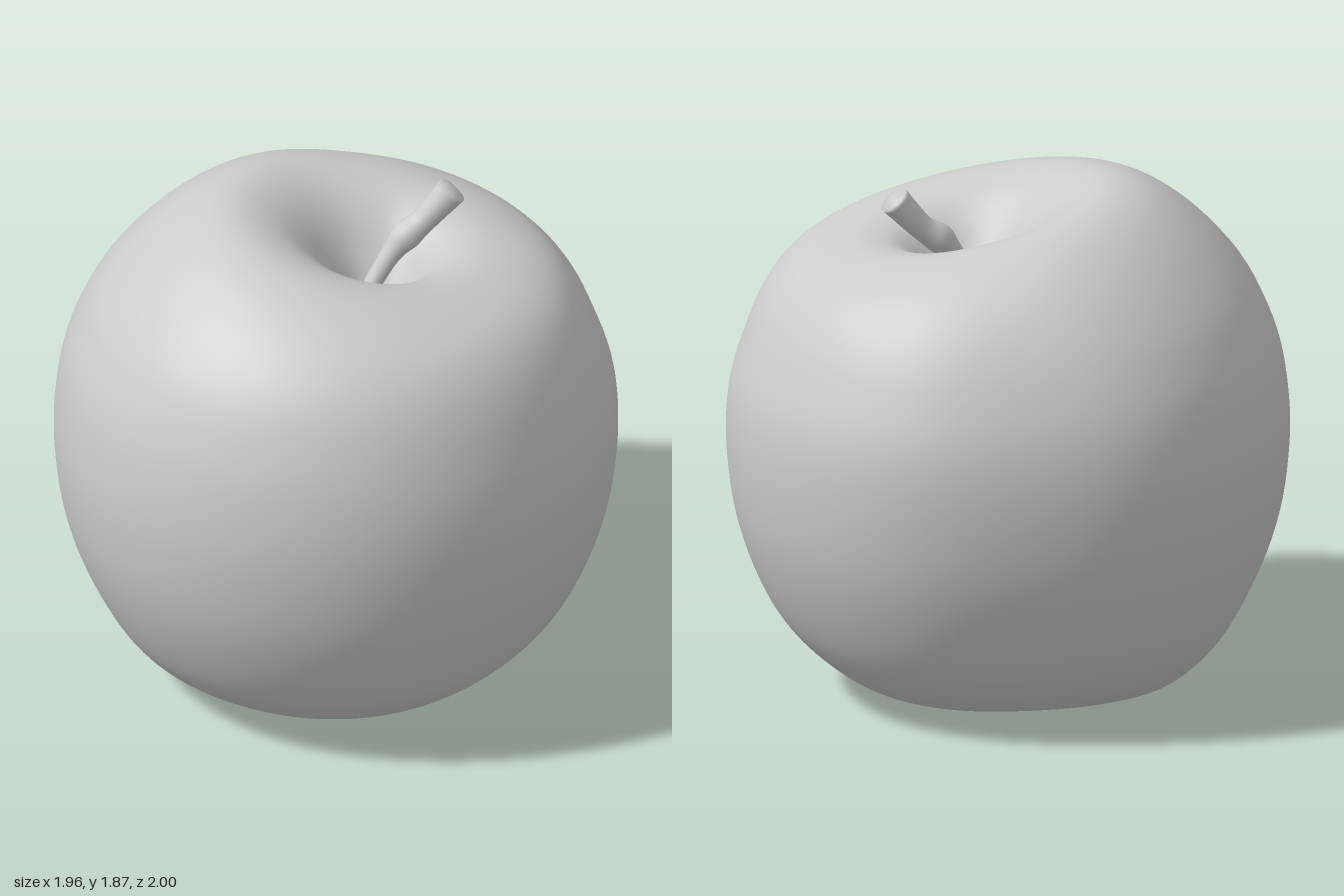
import * as THREE from 'three';
import { mergeVertices } from 'three/addons/utils/BufferGeometryUtils.js';

const material = new THREE.MeshStandardMaterial({ color: 0xcccccc });

// Half profile (radius, height) from the basin underneath to the stem cavity.
const PROFILE = [
  [0, 0.31], [0.06, 0.29], [0.15, 0.215], [0.27, 0.12], [0.38, 0.06], [0.49, 0.045],
  [0.62, 0.095], [0.77, 0.235], [0.88, 0.43], [0.957, 0.67], [0.985, 0.95], [0.957, 1.2],
  [0.87, 1.43], [0.75, 1.595], [0.6, 1.705], [0.45, 1.75], [0.32, 1.725], [0.22, 1.65],
  [0.13, 1.53], [0.06, 1.43], [0, 1.4],
];

// Weld the seam and rebuild smooth normals after moving vertices.
function smooth(geometry) {
  geometry.deleteAttribute('uv');
  geometry.deleteAttribute('normal');
  const welded = mergeVertices(geometry, 1e-5);
  welded.computeVertexNormals();
  return welded;
}

function createFruit() {
  const { smoothstep } = THREE.MathUtils;
  const curve = new THREE.SplineCurve(PROFILE.map(([r, y]) => new THREE.Vector2(r, y)));
  const points = curve.getPoints(110);
  points.forEach((p) => { p.x = Math.max(0, p.x); });
  points[0].x = points[points.length - 1].x = 0;
  const geometry = new THREE.LatheGeometry(points, 96);
  const pos = geometry.attributes.position;
  for (let i = 0; i < pos.count; i++) {
    let x = pos.getX(i), y = pos.getY(i), z = pos.getZ(i);
    const r = Math.hypot(x, z);
    const angle = Math.atan2(z, x);
    const facing = (dx, dz) => Math.max(0, Math.cos(angle - Math.atan2(dz, dx)));

    // A flatter back-left cheek.
    const squash = 1 - 0.042 * facing(-0.84, -0.54) ** 12;
    x *= squash;
    z *= squash * 1.015;

    if (y > 0.95) {
      // The rim tilts strongly, the shoulders only a little; the stem cavity is off centre.
      const rim = 1 - smoothstep(r, 0.35, 0.85);
      const shoulder = smoothstep(y, 1, 1.5);
      y += (0.07 * shoulder + 0.12 * rim) * z - 0.14 * rim * x;
      const shift = smoothstep(y, 1.2, 1.4) * (1 - r / 0.98);
      x += 0.07 * shift;
      z -= 0.13 * shift;
    } else {
      // Uneven rim below: low at the front, raised at the back.
      const w = (1 - smoothstep(y, 0.05, 0.4)) * smoothstep(r, 0.05, 0.4);
      y += w * (0.03 * facing(0.7, -0.7) ** 6 - 0.045 * facing(-0.6, 0.8) ** 4);
    }
    pos.setXYZ(i, x, y, z);
  }
  const fruit = new THREE.Mesh(smooth(geometry), material);
  fruit.name = 'fruit';
  return fruit;
}

function createStem() {
  const path = new THREE.CatmullRomCurve3([
    new THREE.Vector3(0.05, 1.36, -0.04),
    new THREE.Vector3(0.055, 1.52, -0.13),
    new THREE.Vector3(0.075, 1.66, -0.235),
    new THREE.Vector3(0.095, 1.72, -0.31),
    new THREE.Vector3(0.14, 1.845, -0.415),
  ]);
  const segments = 40, sides = 16;
  // Radius along the stem, with a knot in the middle and a wider tip.
  const radius = (t) => 0.03 + 0.028 * t ** 2 + 0.014 * Math.exp(-(((t - 0.6) / 0.08) ** 2));
  const geometry = new THREE.TubeGeometry(path, segments, 1, sides);
  const pos = geometry.attributes.position;
  const v = new THREE.Vector3();
  for (let i = 0; i < pos.count; i++) {
    const ring = Math.floor(i / (sides + 1));
    // The last rings close the blunt tip.
    const t = Math.min(ring, segments - 1) / segments;
    const center = path.getPointAt(ring / segments);
    v.fromBufferAttribute(pos, i).sub(center).multiplyScalar(ring === segments ? 0 : radius(t)).add(center);
    pos.setXYZ(i, v.x, v.y, v.z);
  }
  const stem = new THREE.Mesh(smooth(geometry), material);
  stem.name = 'stem';
  return stem;
}

// Dried sepals in the basin underneath.
function createCalyx() {
  const calyx = new THREE.Group();
  calyx.name = 'calyx';
  for (let i = 0; i < 5; i++) {
    const a = (i / 5) * Math.PI * 2 + 0.4;
    const sepal = new THREE.Mesh(new THREE.ConeGeometry(0.022, 0.09, 6), material);
    sepal.name = 'sepal';
    sepal.position.set(0.07 * Math.cos(a), 0.25, 0.07 * Math.sin(a));
    sepal.rotation.set(Math.PI + 0.5 * Math.sin(a), 0, 0.5 * Math.cos(a));
    calyx.add(sepal);
  }
  return calyx;
}

export function createModel() {
  const model = new THREE.Group();
  model.name = 'apple';
  model.add(createFruit(), createStem(), createCalyx());
  return model;
}
